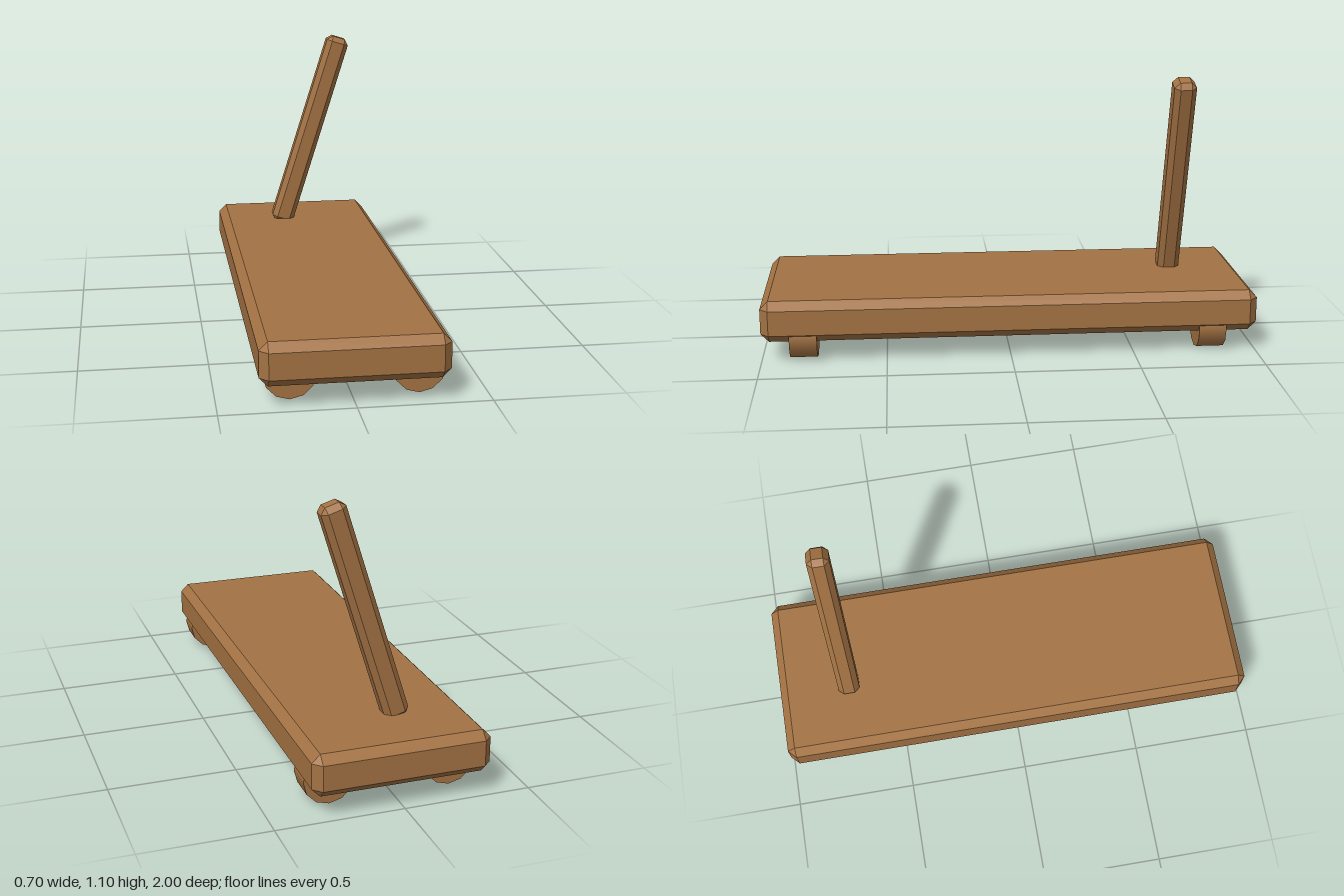
import * as THREE from 'three';
import { ConvexGeometry } from 'three/addons/geometries/ConvexGeometry.js';

// Box with flat chamfers on every edge and corner
function chamferBox(w, h, d, c) {
  const half = [w / 2, h / 2, d / 2];
  const points = [];
  for (const sx of [-1, 1]) for (const sy of [-1, 1]) for (const sz of [-1, 1]) {
    for (let axis = 0; axis < 3; axis++) {
      const p = [sx, sy, sz].map((s, i) => s * (half[i] - (i === axis ? 0 : c)));
      points.push(new THREE.Vector3(...p));
    }
  }
  return new ConvexGeometry(points);
}

export function createModel() {
  const group = new THREE.Group();
  const wood = new THREE.MeshStandardMaterial({ color: 0xa37243 });
  wood.name = 'wood';

  const add = (name, geometry, x, y, z) => {
    const mesh = new THREE.Mesh(geometry, wood);
    mesh.name = name;
    mesh.position.set(x, y, z);
    group.add(mesh);
    return mesh;
  };

  // Deck
  add('deck', chamferBox(0.7, 0.168, 2, 0.033), 0, 0.173, 0);

  // Leaning steering post
  const post = add('post', chamferBox(0.1, 0.9, 0.09, 0.022), 0.056, 0.668, -0.703);
  post.rotation.z = -0.304;

  // Wheels, each with a small hub on its rear face
  const wheelGeometry = new THREE.CylinderGeometry(0.1, 0.1, 0.11, 12).rotateX(Math.PI / 2);
  const hubGeometry = new THREE.CylinderGeometry(0.033, 0.033, 0.015, 12).rotateX(Math.PI / 2);
  for (const [end, z] of [['front', 0.832], ['rear', -0.817]]) {
    for (const [side, x] of [['Right', -0.23], ['Left', 0.25]]) {
      add(`${end}${side}Wheel`, wheelGeometry, x, 0.102, z);
      add(`${end}${side}Hub`, hubGeometry, x, 0.102, z - 0.0625);
    }
  }
  return group;
}
